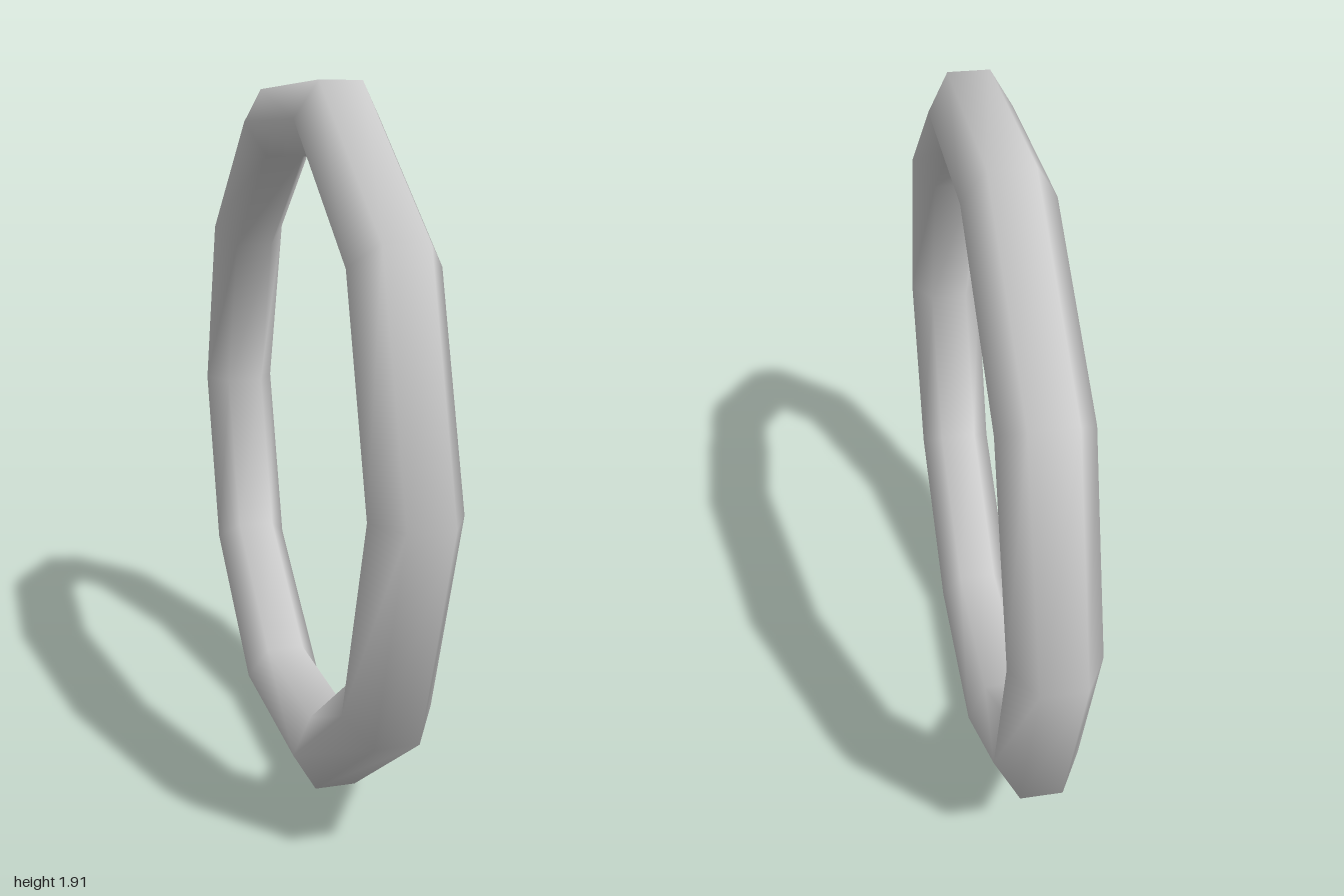
import * as THREE from 'three';
import { mergeVertices } from 'three/addons/utils/BufferGeometryUtils.js';

const RING_RADIUS = 0.902;
const TUBE_RADIUS = 0.113;
const TUBE_SIDES = 6;
const RING_SEGMENTS = 10;
const TILT = 0.01;

export function createModel() {
  const group = new THREE.Group();
  group.name = 'ringModel';

  // Closed hexagonal section with flats facing inwards and outwards
  const section = [];
  for (let i = 0; i <= TUBE_SIDES; i++) {
    const a = ((i + 0.5) / TUBE_SIDES) * Math.PI * 2;
    section.push(new THREE.Vector2(
      RING_RADIUS + TUBE_RADIUS * Math.cos(a),
      TUBE_RADIUS * Math.sin(a)
    ));
  }

  // Ten-segment ring, welded at its seams so the shading is smooth all round
  let geometry = new THREE.LatheGeometry(section, RING_SEGMENTS);
  geometry.deleteAttribute('normal');
  geometry.deleteAttribute('uv');
  geometry = mergeVertices(geometry, 1e-4);

  // Stand it upright on the ground with its axis along x
  geometry.rotateZ(Math.PI / 2);
  geometry.rotateX(TILT);
  geometry.computeBoundingBox();
  geometry.translate(0, -geometry.boundingBox.min.y, 0);
  geometry.computeVertexNormals();

  const ring = new THREE.Mesh(
    geometry,
    new THREE.MeshStandardMaterial({ color: 0xcccccc })
  );
  ring.name = 'ring';
  group.add(ring);
  return group;
}
